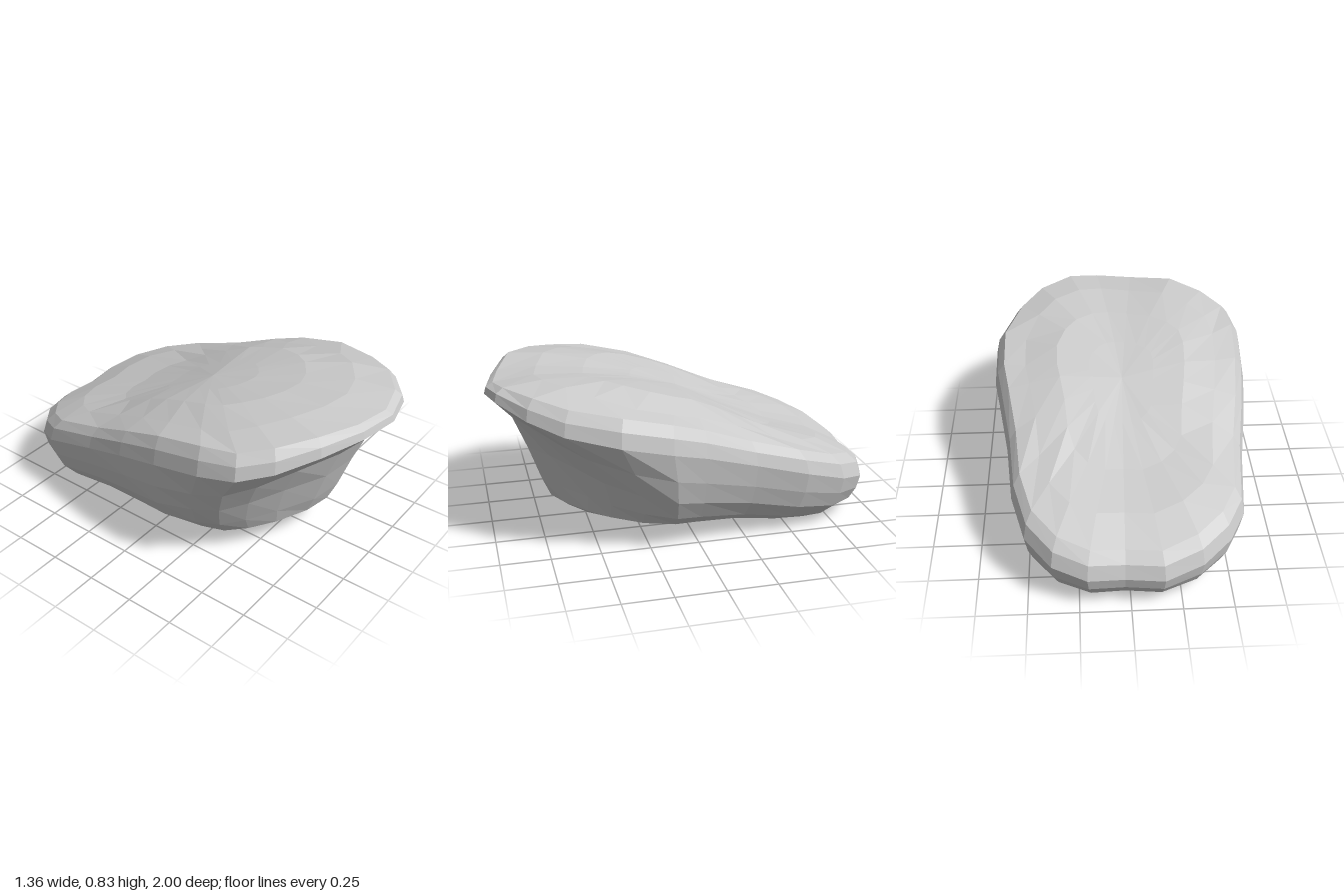
import * as THREE from 'three';

const { lerp, clamp, smoothstep } = THREE.MathUtils;

// Widest contour seen from above, as [x, z], from the back round the left side
const outline = [
  [-0.16, -1], [0.03, -0.98], [0.21, -0.99], [0.38, -0.92], [0.51, -0.77], [0.575, -0.55],
  [0.6, -0.27], [0.645, 0], [0.675, 0.17], [0.675, 0.42], [0.58, 0.67], [0.46, 0.83],
  [0.28, 0.96], [0.11, 1], [-0.1, 0.96], [-0.35, 0.88], [-0.53, 0.75], [-0.645, 0.61],
  [-0.68, 0.42], [-0.67, 0.15], [-0.64, -0.1], [-0.6, -0.35], [-0.57, -0.67], [-0.49, -0.81], [-0.35, -0.93],
];

// Heights along z, as [z, y], of the sloping top and of the underside
const topLine = [[-1, 0.32], [-0.9, 0.36], [-0.7, 0.425], [-0.4, 0.515], [-0.2, 0.62], [0, 0.71], [0.2, 0.77], [0.45, 0.82], [0.75, 0.84], [1, 0.82]];
const baseLine = [[-1, 0], [-0.6, 0], [-0.2, 0.06], [0.2, 0.085], [0.6, 0.12], [1, 0.13]];

// Wall rings: scale in x, front z, back z; height fraction at side, front, back; inset of the front corners
const walls = [
  [0.92, 0.955, 0.92, 1, 1, 1, 0],
  [0.975, 0.99, 0.975, 0.91, 0.97, 0.84, 0],
  [1, 1, 1, 0.78, 0.92, 0.6, 0],
  [0.97, 0.87, 0.985, 0.54, 0.72, 0.4, 0.06],
  [0.92, 0.8, 0.95, 0.33, 0.47, 0.22, 0.12],
  [0.83, 0.735, 0.89, 0.15, 0.2, 0.1, 0.12],
  [0.71, 0.69, 0.79, 0.04, 0.05, 0.02, 0.07],
  [0.54, 0.63, 0.65, 0, 0, 0, 0],
];

function heightAt(line, z) {
  const i = Math.max(1, line.findIndex(([end]) => z <= end));
  const [z0, y0] = line[i - 1], [z1, y1] = line[i];
  return lerp(y0, y1, clamp((z - z0) / (z1 - z0), 0, 1));
}

// The top falls off towards both sides, a little more on the left, and dips along the middle
function topAt(x, z) {
  const across = Math.abs(x);
  const drop = (x > 0 ? 0.07 : 0.05) * smoothstep(across, 0.3, 0.62) * smoothstep(z, -0.6, 0);
  return heightAt(topLine, z) - drop - 0.022 * (1 - smoothstep(across, 0, 0.32));
}

function createRings() {
  const rings = [];
  // Top, from its centre outwards
  for (const s of [0, 0.25, 0.5, 0.75]) {
    rings.push(outline.map(([x, z]) => [x * s, topAt(x * s, z * s), z * s]));
  }
  // Rounded rim and tapering wall, cut in at the lower front corners
  for (const [sx, front, back, fSide, fFront, fBack, inset] of walls) {
    rings.push(outline.map(([x, z]) => {
      const cut = 1 - inset * (x > 0 ? 1 : 0.6) * smoothstep(Math.abs(x) * z, 0.1, 0.38);
      const px = x * sx * cut;
      const pz = z * (z > 0 ? front : back) * cut;
      const f = lerp(fSide, z > 0 ? fFront : fBack, Math.abs(z) ** 2.5);
      return [px, lerp(heightAt(baseLine, pz), topAt(x * sx, z), f), pz];
    }));
  }
  // Shallow hollow in the underside, rising to a level ceiling
  for (const [s, t] of [[0.42, 0.3], [0.28, 0.72], [0.14, 0.95], [0, 1]]) {
    rings.push(outline.map(([x, z]) => {
      const pz = z * s * 1.17 - 0.04 * (1 - s);
      return [x * s, lerp(heightAt(baseLine, pz), 0.2, t), pz];
    }));
  }
  return rings;
}

export function createModel() {
  const rings = createRings();
  const n = outline.length;
  const index = [];
  for (let i = 0; i < rings.length - 1; i++) {
    for (let j = 0; j < n; j++) {
      const k = (j + 1) % n;
      const a = i * n + j, b = i * n + k, c = a + n, d = b + n;
      if (i > 0) index.push(a, b, c);
      if (i < rings.length - 2) index.push(b, d, c);
    }
  }
  const geometry = new THREE.BufferGeometry();
  geometry.setAttribute('position', new THREE.Float32BufferAttribute(rings.flat(2), 3));
  geometry.setIndex(index);
  geometry.computeVertexNormals();

  const body = new THREE.Mesh(geometry, new THREE.MeshStandardMaterial({ color: 0xcccccc, flatShading: true }));
  body.name = 'slopingStone';
  const group = new THREE.Group();
  group.name = 'stone';
  group.add(body);
  return group;
}
